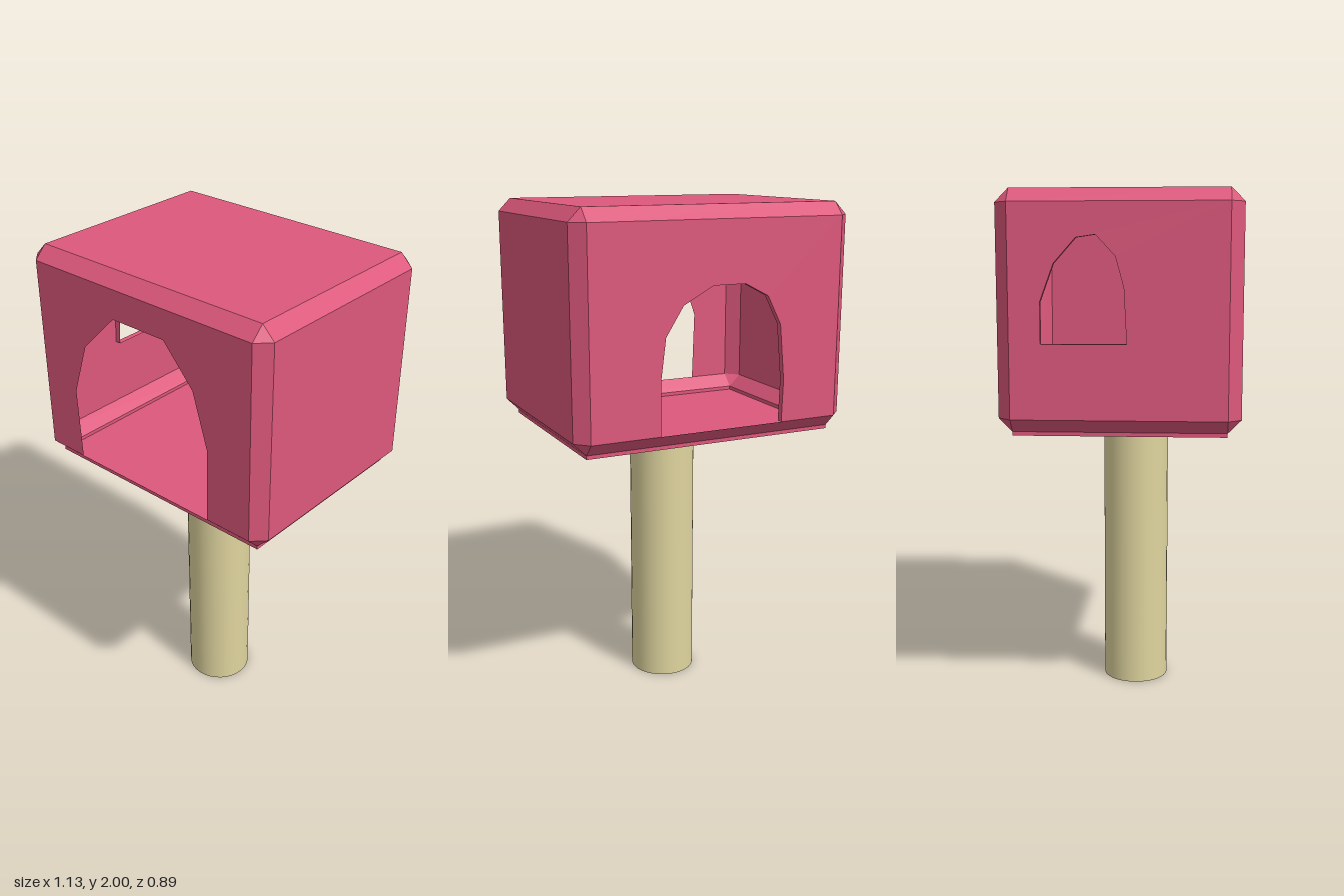
import * as THREE from 'three';

const pink = new THREE.MeshStandardMaterial({ color: 0xdd587c, flatShading: true, side: THREE.DoubleSide });
const cream = new THREE.MeshStandardMaterial({ color: 0xe0d59f, side: THREE.DoubleSide });

// Half sizes of the chamfered house shell, its middle height and the chamfer width
const HALF = [0.565, 0.4375, 0.445];
const MID_Y = 1.5625;
const CHAMFER = 0.05;
const FLAT = HALF.map((h) => h - CHAMFER);
const BOTTOM = MID_Y - FLAT[1];
const TOP = MID_Y + FLAT[1];
const FLOOR_Y = 1.11;

function mesh(name, geometry, material = pink) {
  const m = new THREE.Mesh(geometry, material);
  m.name = name;
  return m;
}

// Flat faces from polygons; with a centre given, every face is turned away from it
function faces(polygons, centre) {
  const out = [];
  for (const polygon of polygons) {
    const p = polygon.map((c) => new THREE.Vector3(...c));
    const normal = new THREE.Vector3().crossVectors(p[1].clone().sub(p[0]), p[2].clone().sub(p[0]));
    if (centre && normal.dot(p[0].clone().sub(centre)) < 0) p.reverse();
    for (let i = 1; i < p.length - 1; i++) {
      for (const v of [p[0], p[i], p[i + 1]]) out.push(v.x, v.y, v.z);
    }
  }
  const geometry = new THREE.BufferGeometry();
  geometry.setAttribute('position', new THREE.Float32BufferAttribute(out, 3));
  geometry.computeVertexNormals();
  return geometry;
}

// Twelve chamfered edges and eight corner triangles
function chamferGeometry() {
  const polygons = [];
  // Corner point lying on the face across the given axis
  const corner = (signs, axis) => signs.map((s, i) => s * (i === axis ? HALF[i] : FLAT[i]));
  for (let along = 0; along < 3; along++) {
    const a = (along + 1) % 3;
    const b = (along + 2) % 3;
    for (const sa of [-1, 1]) for (const sb of [-1, 1]) {
      const low = [];
      low[along] = -1; low[a] = sa; low[b] = sb;
      const high = [...low];
      high[along] = 1;
      polygons.push([corner(low, a), corner(high, a), corner(high, b), corner(low, b)]);
    }
  }
  for (const x of [-1, 1]) for (const y of [-1, 1]) for (const z of [-1, 1]) {
    polygons.push([0, 1, 2].map((axis) => corner([x, y, z], axis)));
  }
  return faces(polygons, new THREE.Vector3()).translate(0, MID_Y, 0);
}

// Upright wall, seen from outside: a doorway cuts its lower edge, a window is a hole
function wall(name, halfWidth, distance, angle, { doorway = [], window = null, reveal = 0 } = {}) {
  const group = new THREE.Group();
  group.name = name;
  const outline = [[-halfWidth, BOTTOM], ...doorway, [halfWidth, BOTTOM], [halfWidth, TOP], [-halfWidth, TOP]];
  const toPoints = (list) => list.map((p) => new THREE.Vector2(...p));
  const shape = new THREE.Shape(toPoints(outline));
  if (window) shape.holes.push(new THREE.Path(toPoints(window)));
  group.add(mesh(name + 'Panel', new THREE.ShapeGeometry(shape).translate(0, 0, distance)));

  // Short reveal running inward round the opening
  if (reveal) {
    const rim = window ? [...window, window[0]] : doorway;
    const strips = rim.slice(1).map((q, i) => [
      [...rim[i], distance], [...q, distance], [...q, distance - reveal], [...rim[i], distance - reveal],
    ]);
    group.add(mesh(name + 'Reveal', faces(strips)));
  }
  group.rotation.y = angle;
  return group;
}

export function createModel() {
  const model = new THREE.Group();
  model.name = 'houseOnPost';

  // Opening outlines
  const frontArch = [
    [-0.342, BOTTOM], [-0.352, 1.465], [-0.278, 1.677], [-0.119, 1.835],
    [0.125, 1.835], [0.257, 1.687], [0.322, 1.47], [0.317, BOTTOM],
  ];
  const backArch = [
    [-0.273, BOTTOM], [-0.278, 1.34], [-0.257, 1.555], [-0.2, 1.665], [-0.103, 1.715],
    [0.03, 1.715], [0.15, 1.65], [0.22, 1.54], [0.24, 1.38], [0.24, BOTTOM],
  ].map(([x, y]) => [-x, y]).reverse();
  const sideWindow = [
    [-0.28, 1.45], [-0.28, 1.6], [-0.23, 1.735], [-0.15, 1.825],
    [-0.08, 1.835], [-0.01, 1.76], [0.02, 1.65], [0.03, 1.45],
  ];

  // Walls, each turned to face outward
  const house = new THREE.Group();
  house.name = 'house';
  house.add(
    wall('frontWall', FLAT[0], HALF[2], 0, { doorway: frontArch }),
    wall('backWall', FLAT[0], HALF[2], Math.PI, { doorway: backArch, reveal: 0.025 }),
    wall('leftWall', FLAT[2], HALF[0], Math.PI / 2),
    wall('rightWall', FLAT[2], HALF[0], -Math.PI / 2, { window: sideWindow, reveal: 0.025 }),
    mesh('chamfers', chamferGeometry()),
  );

  // Roof and the shallow sunken floor
  const slab = () => new THREE.PlaneGeometry(2 * FLAT[0], 2 * FLAT[2]);
  house.add(mesh('roof', slab().rotateX(-Math.PI / 2).translate(0, MID_Y + HALF[1], 0)));
  house.add(mesh('floor', slab().rotateX(Math.PI / 2).translate(0, FLOOR_Y, 0)));
  const rim = [[1, 1], [1, -1], [-1, -1], [-1, 1]].map(([x, z]) => [x * FLAT[0], z * FLAT[2]]);
  const lip = rim.map(([x, z], i) => {
    const [x2, z2] = rim[(i + 1) % 4];
    const top = MID_Y - HALF[1];
    return [[x, FLOOR_Y, z], [x2, FLOOR_Y, z2], [x2, top, z2], [x, top, z]];
  });
  house.add(mesh('floorLip', faces(lip, new THREE.Vector3(0, FLOOR_Y, 0))));
  model.add(house);

  // Hollow round post, slightly off centre
  const post = mesh('post', new THREE.CylinderGeometry(0.133, 0.133, 1.1, 32, 1, true), cream);
  post.position.set(0.012, 0.55, 0.03);
  model.add(post);

  return model;
}
